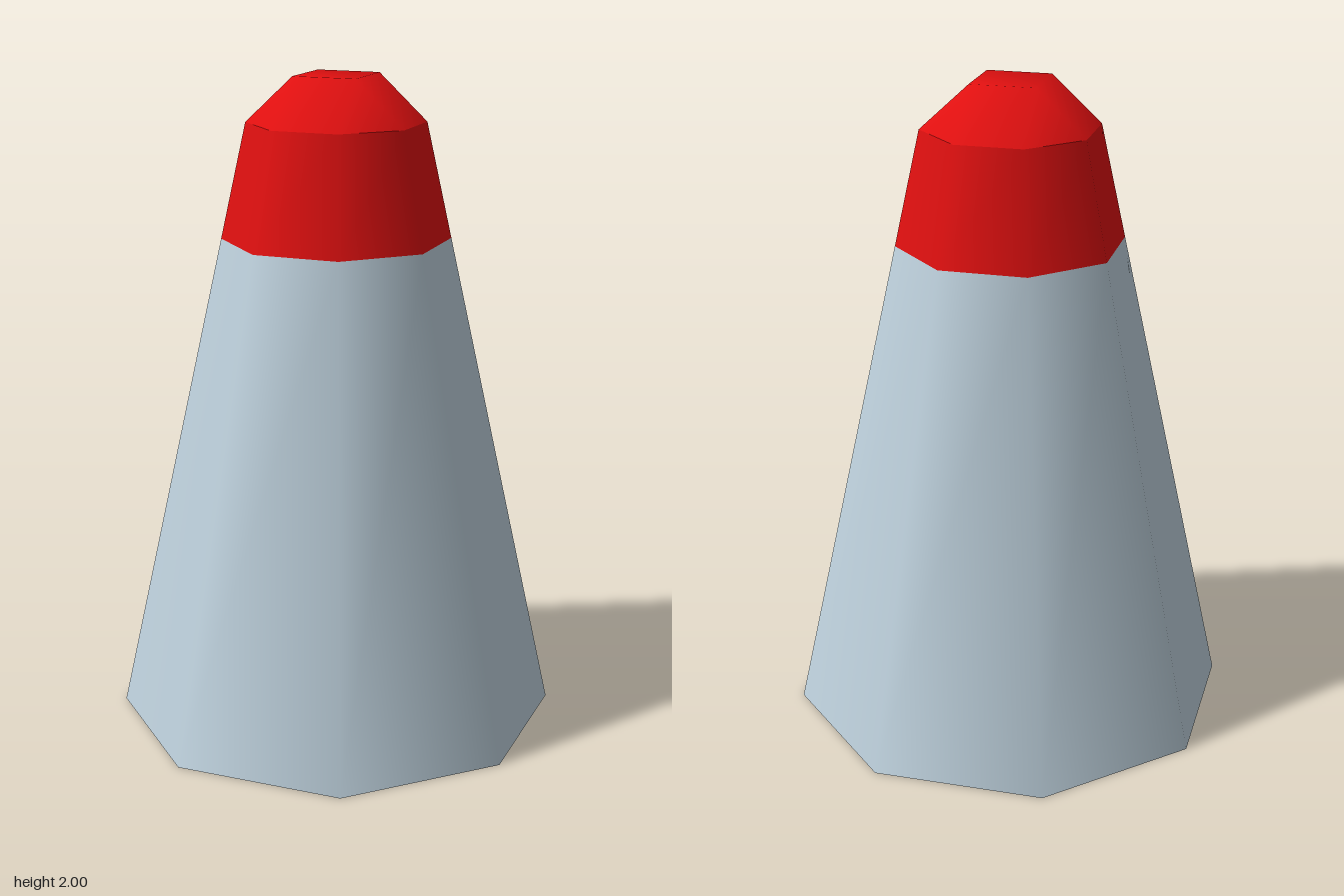
import * as THREE from 'three';

const SIDES = 8;
const BASE_R = 0.68, RIM_R = 0.27, TIP_R = 0.14;
const RIM_Y = 1.86, TOP_Y = 2, BAND_Y = 1.51;

// Radius of the straight taper at a given height
const radiusAt = (y) => BASE_R + (RIM_R - BASE_R) * y / RIM_Y;

// Open eight-sided section of the taper
function taper(y0, y1) {
  const g = new THREE.CylinderGeometry(radiusAt(y1), radiusAt(y0), y1 - y0, SIDES, 1, true);
  return g.translate(0, (y0 + y1) / 2, 0);
}

// Low dome: an eight-sided rim closing to a small square, set between the rim corners
function domeGeometry() {
  const positions = [], index = [];
  const ring = (count, radius, y, start) => {
    for (let i = 0; i < count; i++) {
      const a = start + i * Math.PI * 2 / count;
      positions.push(radius * Math.cos(a), y, -radius * Math.sin(a));
    }
  };
  ring(SIDES, RIM_R, RIM_Y, 0);
  ring(4, TIP_R, TOP_Y, Math.PI / 8);
  for (let j = 0; j < 4; j++) {
    const a = 2 * j, b = a + 1, c = (a + 2) % SIDES;
    const p = SIDES + j, q = SIDES + (j + 1) % 4;
    index.push(a, b, p, b, c, q, b, q, p);
  }
  index.push(8, 9, 10, 8, 10, 11);
  const g = new THREE.BufferGeometry();
  g.setAttribute('position', new THREE.Float32BufferAttribute(positions, 3));
  g.setIndex(index);
  g.computeVertexNormals();
  return g;
}

export function createModel() {
  const model = new THREE.Group();
  model.name = 'taperedMarker';

  const grey = new THREE.MeshStandardMaterial({ color: 0xbfd2de });
  grey.name = 'paleBlueGrey';
  const red = new THREE.MeshStandardMaterial({ color: 0xe01010 });
  red.name = 'red';

  const add = (name, geometry, material) => {
    const mesh = new THREE.Mesh(geometry, material);
    mesh.name = name;
    model.add(mesh);
  };

  add('body', taper(0, BAND_Y), grey);
  add('redBand', taper(BAND_Y, RIM_Y), red);
  add('dome', domeGeometry(), red);

  // Underside, facing down
  const base = new THREE.CircleGeometry(BASE_R, SIDES).rotateX(Math.PI / 2);
  add('underside', base, red);

  return model;
}
